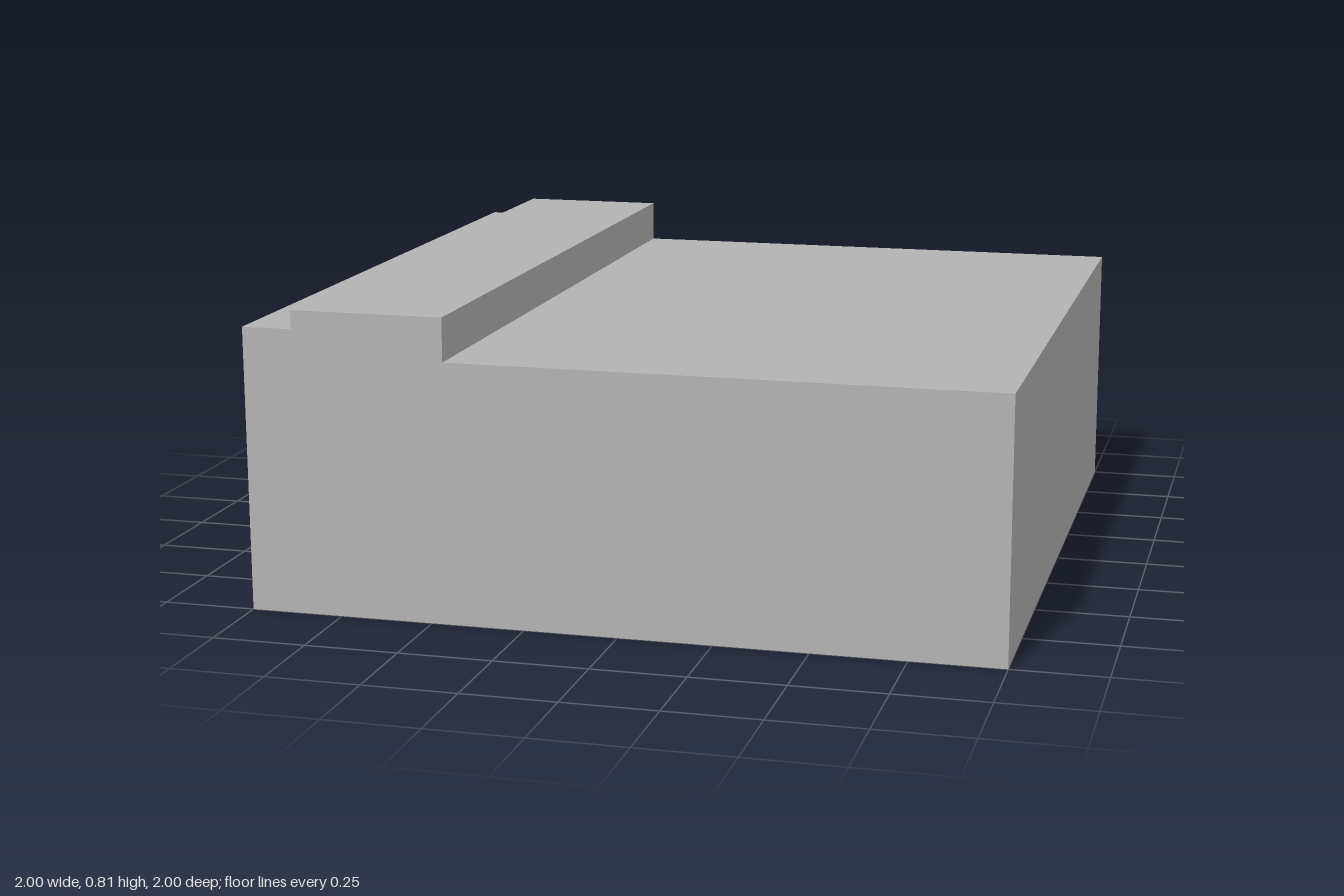
import * as THREE from 'three';

const DEPTH = 2;

// Stepped outline, counterclockwise seen from the front; its base is left open
const PROFILE = [
  [1, 0], [1, 0.694], [-0.455, 0.694], [-0.455, 0.81],
  [-0.865, 0.81], [-0.865, 0.76], [-1, 0.76], [-1, 0],
];
const PANEL_NAMES = [
  'leftWall', 'mainRoof', 'ridgeInnerStep', 'ridgeTop',
  'ridgeOuterStep', 'ledgeTop', 'rightWall',
];

// Flat panel running from front to back between two profile points
function panelGeometry([ax, ay], [bx, by]) {
  const z = DEPTH / 2;
  const geometry = new THREE.BufferGeometry();
  geometry.setAttribute('position', new THREE.Float32BufferAttribute([
    ax, ay, z, ax, ay, -z, bx, by, -z,
    ax, ay, z, bx, by, -z, bx, by, z,
  ], 3));
  geometry.computeVertexNormals();
  return geometry;
}

export function createModel() {
  const model = new THREE.Group();
  model.name = 'steppedShell';
  const grey = new THREE.MeshStandardMaterial({ color: 0xb2b2b2, side: THREE.DoubleSide });
  grey.name = 'grey';

  const add = (name, geometry) => {
    const mesh = new THREE.Mesh(geometry, grey);
    mesh.name = name;
    model.add(mesh);
    return mesh;
  };

  // Side walls, roof, raised ridge and low ledge
  PANEL_NAMES.forEach((name, i) => add(name, panelGeometry(PROFILE[i], PROFILE[i + 1])));

  // Front and back walls with the stepped outline
  const outline = new THREE.Shape(PROFILE.map(([x, y]) => new THREE.Vector2(x, y)));
  add('frontWall', new THREE.ShapeGeometry(outline)).position.z = DEPTH / 2;

  const mirrored = new THREE.Shape(PROFILE.map(([x, y]) => new THREE.Vector2(-x, y)).reverse());
  const back = add('backWall', new THREE.ShapeGeometry(mirrored));
  back.rotation.y = Math.PI;
  back.position.z = -DEPTH / 2;

  return model;
}
